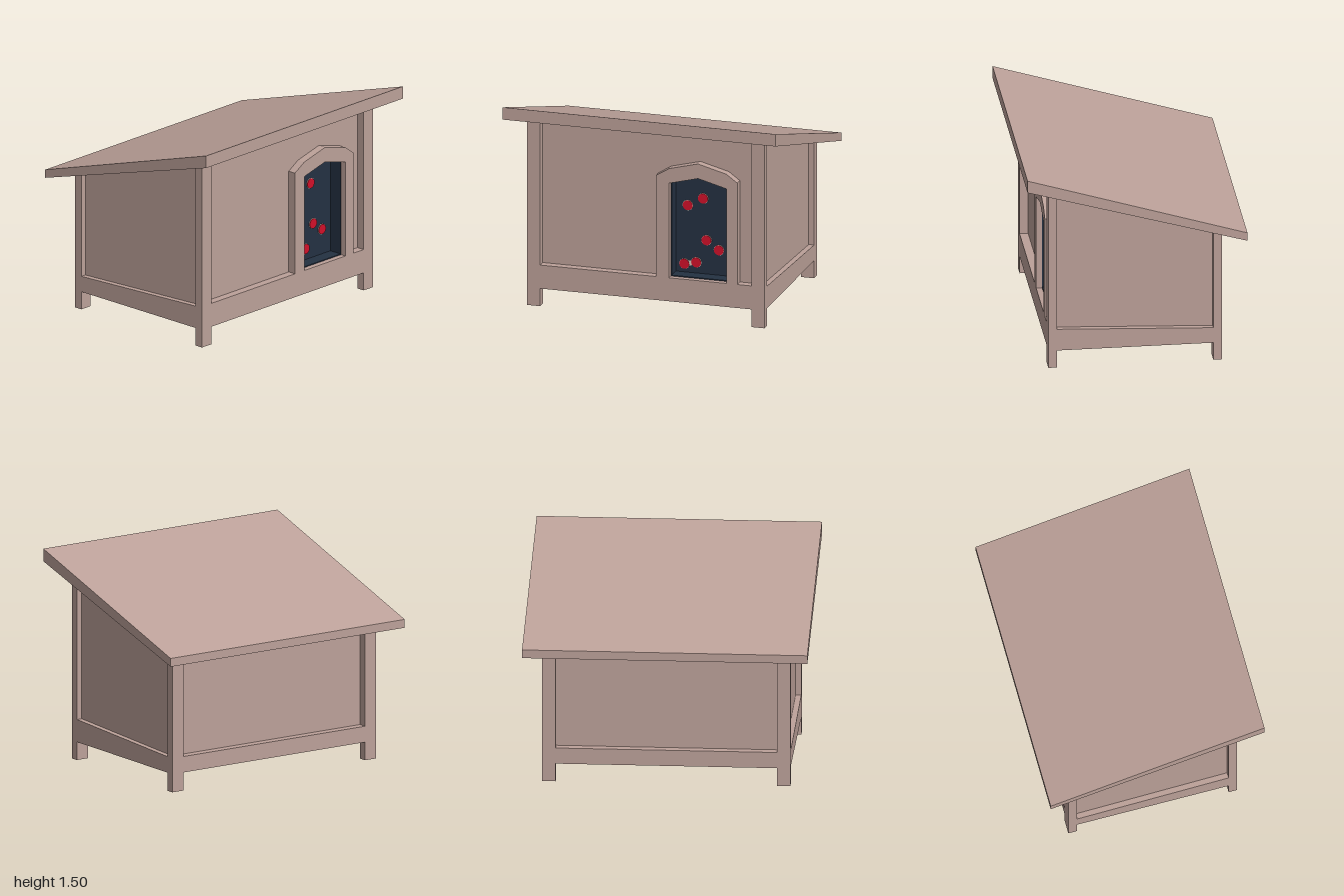
import * as THREE from 'three';

const paint = new THREE.MeshStandardMaterial({ color: 0xbca199 });
paint.name = 'taupe paint';
const navy = new THREE.MeshStandardMaterial({ color: 0x243142 });
navy.name = 'navy lining';
const red = new THREE.MeshStandardMaterial({ color: 0xd2102a });
red.name = 'red spots';
const cream = new THREE.MeshStandardMaterial({ color: 0xd8c8b8 });
cream.name = 'cream trim';

const toShape = (pts) => new THREE.Shape(pts.map(([x, y]) => new THREE.Vector2(x, y)));

export function createModel() {
  const group = new THREE.Group();
  const add = (name, geometry, material) => {
    const mesh = new THREE.Mesh(geometry, material);
    mesh.name = name;
    group.add(mesh);
    return mesh;
  };
  // side profile in (z, y), extruded from x0 to x1
  const prism = (name, profile, x0, x1) => {
    const g = new THREE.ExtrudeGeometry(toShape(profile), { depth: x1 - x0, bevelEnabled: false });
    return add(name, g.rotateY(-Math.PI / 2).translate(x1, 0, 0), paint);
  };
  // front outline in (x, y), extruded from z0 to z1
  const slab = (name, outline, hole, z0, z1, material) => {
    const shape = toShape(outline);
    if (hole) shape.holes.push(toShape(hole));
    const g = new THREE.ExtrudeGeometry(shape, { depth: z1 - z0, bevelEnabled: false });
    return add(name, g.translate(0, 0, z0), material);
  };
  const box = (name, x0, x1, y0, y1, z0, z1) => {
    const g = new THREE.BoxGeometry(x1 - x0, y1 - y0, z1 - z0);
    return add(name, g.translate((x0 + x1) / 2, (y0 + y1) / 2, (z0 + z1) / 2), paint);
  };
  // height just inside the sloping roof at depth z
  const under = (z) => 1.19 + z * 0.29;

  // sloping roof
  prism('roof', [[0.775, 1.405], [0.775, 1.495], [-0.775, 1.015], [-0.775, 0.955]], -1, 1);

  // recessed walls and floor
  const inner = 0.465, wallX = 0.83, wallZ = 0.55;
  prism('body', [[inner, 0.13], [inner, under(inner)], [-wallZ, under(-wallZ)], [-wallZ, 0.13]], -wallX, wallX);

  // corner posts and side rails
  for (const s of [-1, 1]) {
    const span = (a, b) => (s > 0 ? [a, b] : [-b, -a]);
    for (const [z0, z1] of [[0.55, 0.612], [-0.612, -0.55]]) {
      prism('cornerPost', [[z0, 0], [z1, 0], [z1, under(z1)], [z0, under(z0)]], ...span(0.775, 0.87));
    }
    prism('sideRail', [[-0.55, 0.13], [0.55, 0.13], [0.55, 0.292], [-0.55, 0.245]], ...span(0.8, 0.87));
  }
  box('frontRail', -0.775, 0.775, 0.13, 0.303, inner, 0.612);
  box('backRail', -0.775, 0.775, 0.13, 0.245, -0.612, -wallZ);

  // doorway outline, and the same shape slightly smaller
  const door = [[0.17, 0.303], [0.59, 0.303], [0.59, 1.0], [0.382, 1.055], [0.17, 1.0]];
  const doorInner = [[0.177, 0.31], [0.583, 0.31], [0.583, 0.994], [0.382, 1.047], [0.177, 0.994]];

  // front wall with the doorway cut out
  slab('frontWall', [[-wallX, 0.13], [wallX, 0.13], [wallX, 1.345], [-wallX, 1.345]],
    door, inner, 0.552, paint);

  // raised door surround, open at the bottom
  slab('doorFrame', [
    [0.075, 0.303], [0.17, 0.303], [0.17, 1.0], [0.382, 1.055], [0.59, 1.0], [0.59, 0.303],
    [0.67, 0.303], [0.67, 1.05], [0.59, 1.108], [0.382, 1.163], [0.17, 1.108], [0.075, 1.05],
  ], null, 0.552, 0.612, paint);

  // dark lining and back panel of the doorway
  slab('doorLining', door, doorInner, inner, 0.57, navy);
  slab('doorPanel', doorInner, null, inner, 0.473, navy);

  // red spots with cream rims
  const spots = [[0.265, 0.805], [0.377, 0.865], [0.402, 0.56], [0.493, 0.495], [0.24, 0.372], [0.327, 0.39]];
  const disc = (name, r, x, y, z, material) =>
    add(name, new THREE.CylinderGeometry(r, r, 0.005, 24).rotateX(Math.PI / 2).translate(x, y, z), material);
  for (const [x, y] of spots) {
    disc('spotRim', 0.038, x, y, 0.475, cream);
    disc('spot', 0.036, x, y, 0.479, red);
  }
  // small cream link between the lowest pair
  const link = add('spotLink', new THREE.BoxGeometry(0.05, 0.035, 0.005), cream);
  link.position.set(0.284, 0.381, 0.475);
  link.rotation.z = 0.2;

  return group;
}
